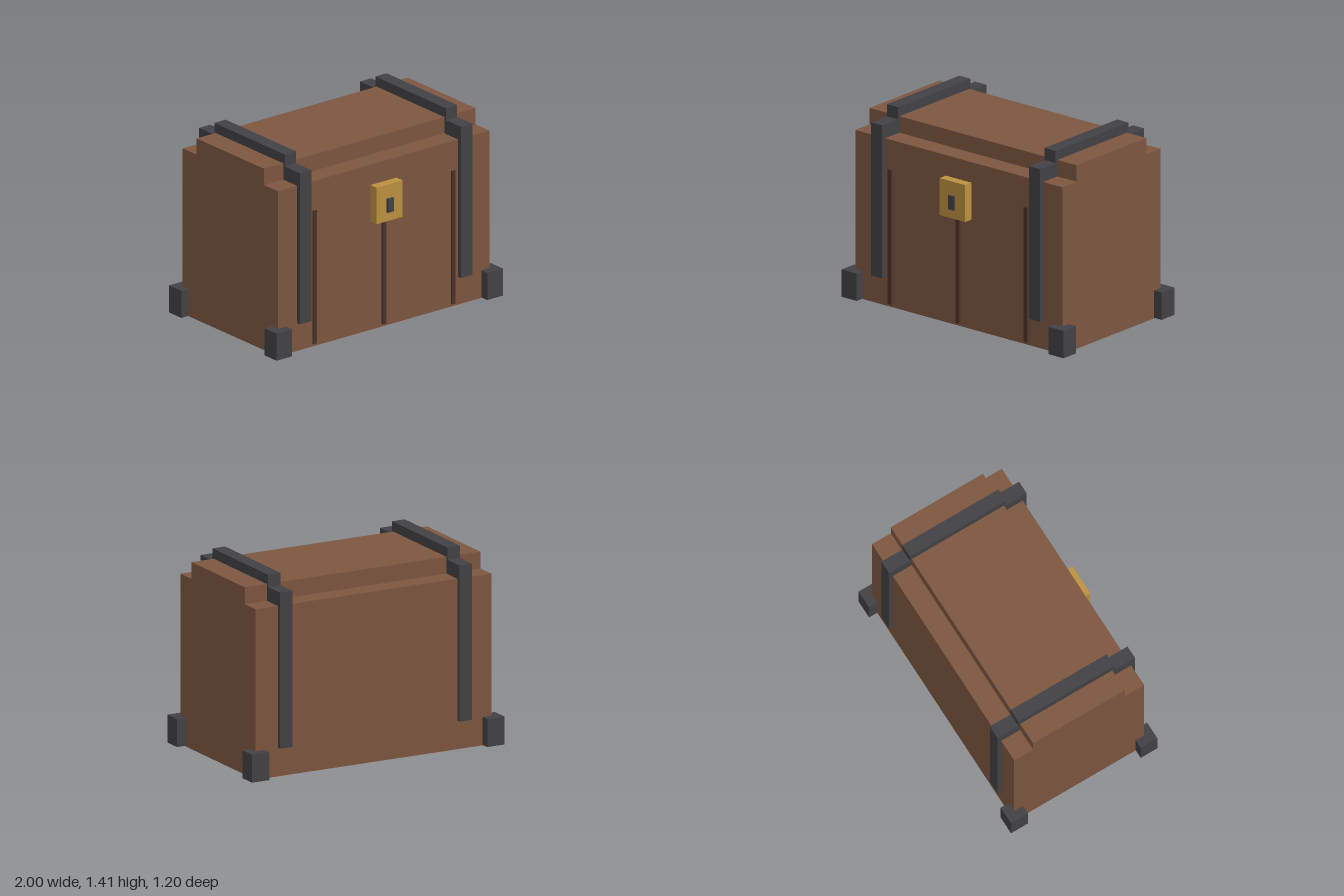
import * as THREE from 'three';

const mat = (name, color) => {
  const m = new THREE.MeshStandardMaterial({ color });
  m.name = name;
  return m;
};

export function createModel() {
  const wood = mat('brown wood', 0x7d5640);
  const darkWood = mat('dark wood', 0x4a3229);
  const iron = mat('dark iron', 0x424246);
  const brass = mat('brass', 0xbc9140);
  const chest = new THREE.Group();
  chest.name = 'chest';

  // Box given by its lower and upper limits on each axis
  const box = (name, material, [x0, x1], [y0, y1], [z0, z1]) => {
    const mesh = new THREE.Mesh(new THREE.BoxGeometry(x1 - x0, y1 - y0, z1 - z0), material);
    mesh.position.set((x0 + x1) / 2, (y0 + y1) / 2, (z0 + z1) / 2);
    mesh.name = name;
    chest.add(mesh);
  };

  // Side profile, points as [z, y], extruded along x and centred on x
  const profile = (name, material, points, width, x) => {
    const shape = new THREE.Shape(points.map(([z, y]) => new THREE.Vector2(-z, y)));
    const geometry = new THREE.ExtrudeGeometry(shape, { depth: width, bevelEnabled: false });
    geometry.translate(0, 0, -width / 2).rotateY(Math.PI / 2);
    const mesh = new THREE.Mesh(geometry, material);
    mesh.position.x = x;
    mesh.name = name;
    chest.add(mesh);
  };

  // Body with stepped lid
  const lidOutline = [
    [0.518, 1.22], [0.365, 1.22], [0.365, 1.34],
    [-0.382, 1.34], [-0.382, 1.22], [-0.535, 1.22],
  ];
  profile('body', wood, [[0.518, 0], ...lidOutline, [-0.535, 0]], 1.866, 0);

  // Iron straps wrapping over the lid
  const strapOutline = [
    [0.55, 0.205], [0.55, 1.322], [0.382, 1.322], [0.382, 1.41],
    [-0.397, 1.41], [-0.397, 1.322], [-0.566, 1.322], [-0.566, 0.205],
    [-0.535, 0.205], ...[...lidOutline].reverse(), [0.518, 0.205],
  ];
  for (const [name, x] of [['leftStrap', 0.708], ['rightStrap', -0.714]])
    profile(name, iron, strapOutline, 0.1, x);

  // Corner feet
  for (const [side, x] of [['left', [0.862, 1]], ['right', [-1, -0.864]]])
    for (const [end, z] of [['Front', [0.45, 0.585]], ['Back', [-0.602, -0.466]]])
      box(`${side}${end}Foot`, iron, x, [0.004, 0.204], z);

  // Plank seams on the front
  for (const [name, x] of [['leftSeam', 0.61], ['middleSeam', -0.002], ['rightSeam', -0.615]])
    box(name, darkWood, [x - 0.016, x + 0.016], [0.02, 1.003], [0.5, 0.531]);

  // Lock plate and keyhole
  box('lockPlate', brass, [-0.117, 0.113], [0.8, 1.07], [0.5, 0.585]);
  box('keyhole', iron, [-0.027, 0.023], [0.867, 0.968], [0.57, 0.602]);

  return chest;
}
